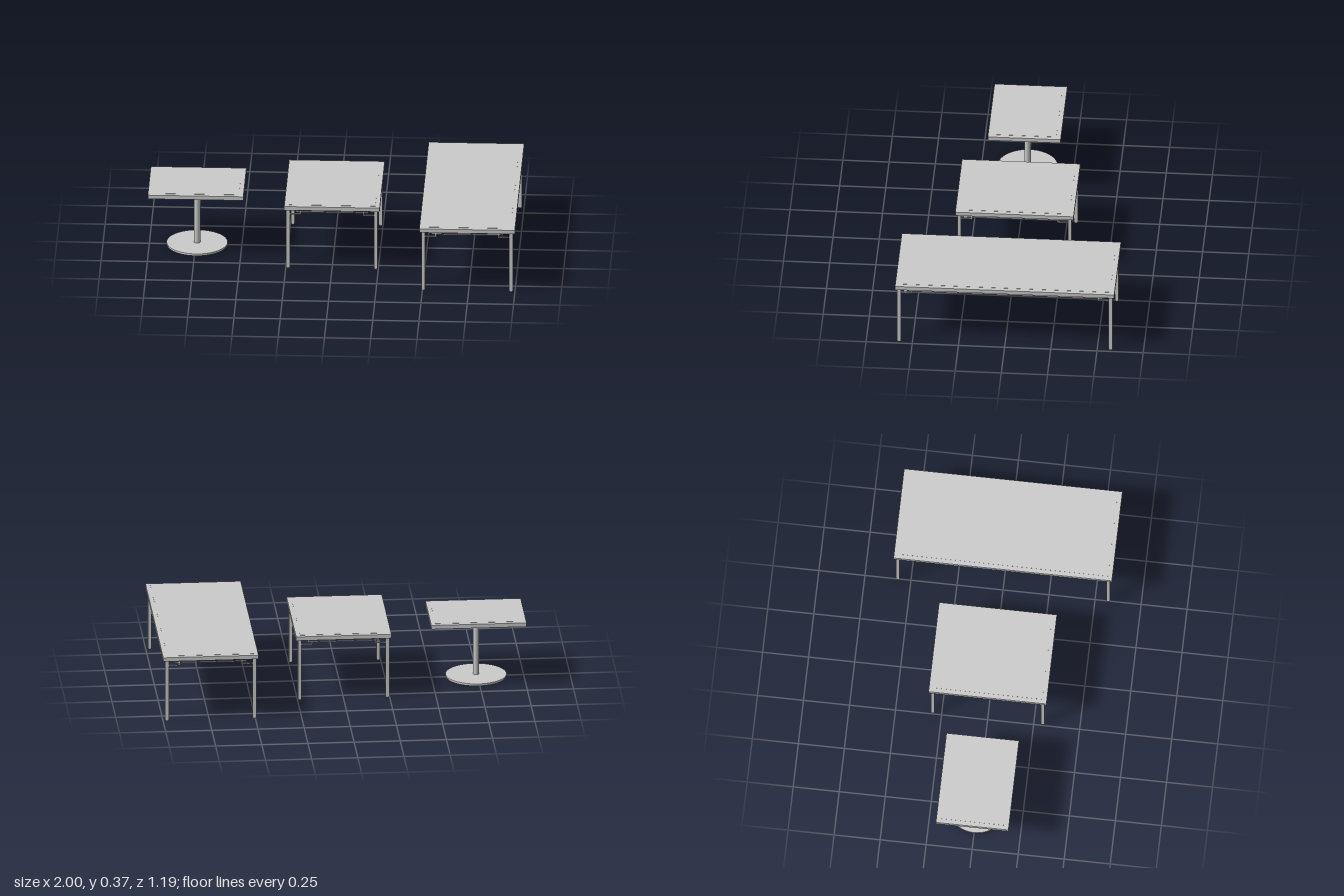
import * as THREE from 'three';

const grey = new THREE.MeshStandardMaterial({ color: 0xcccccc });
const UNDER = 0.345, TOP = 0.367, WIRE = 0.006, LEG = 0.02, INSET = 0.021;

function add(parent, name, geometry, x, y, z) {
  const mesh = new THREE.Mesh(geometry, grey);
  mesh.name = name;
  mesh.position.set(x, y, z);
  parent.add(mesh);
  return mesh;
}

// Box spanning two opposite corners
function span(parent, name, x0, x1, y0, y1, z0, z1) {
  return add(parent, name,
    new THREE.BoxGeometry(Math.abs(x1 - x0), Math.abs(y1 - y0), Math.abs(z1 - z0)),
    (x0 + x1) / 2, (y0 + y1) / 2, (z0 + z1) / 2);
}

// Table top: edged slab with a barely raised surface panel
function addTop(table, hx, hz) {
  const rim = 0.024;
  span(table, 'tableTop', -hx, hx, UNDER, TOP, -hz, hz);
  span(table, 'topPanel', -hx + rim, hx - rim, TOP - 0.002, TOP + 0.001, -hz + rim, hz - rim);
}

// Rails and corner brackets in a vertical plane along local x, offset in z
function addSide(table, name, halfLength, offset, turned) {
  const side = new THREE.Group();
  side.name = name;
  const w = WIRE / 2, railY = 0.33, bracketY = 0.316;
  const railEnd = halfLength - 0.046, bracketEnd = halfLength - 0.067;
  const bar = (part, x0, x1, y0, y1) => span(side, part, x0, x1, y0, y1, offset - w, offset + w);
  bar('rail', -railEnd, railEnd, railY - w, railY + w);
  for (const s of [-1, 1]) {
    bar('railEnd', s * railEnd - w, s * railEnd + w, railY - w, UNDER);
    bar('bracketArm', s * bracketEnd, s * halfLength, bracketY - w, bracketY + w);
    bar('bracketUpright', s * bracketEnd - w, s * bracketEnd + w, bracketY - w, UNDER);
  }
  if (turned) side.rotation.y = Math.PI / 2;
  table.add(side);
}

function fourLegTable(name, x, hx, hz) {
  const table = new THREE.Group();
  table.name = name;
  table.position.x = x;
  addTop(table, hx, hz);
  const lx = hx - INSET, lz = hz - INSET, h = LEG / 2;
  for (const sx of [-1, 1]) for (const sz of [-1, 1]) {
    span(table, 'leg', sx * lx - h, sx * lx + h, 0.006, UNDER, sz * lz - h, sz * lz + h);
    add(table, 'foot', new THREE.CylinderGeometry(0.0095, 0.008, 0.006, 16), sx * lx, 0.003, sz * lz);
  }
  for (const s of [-1, 1]) {
    addSide(table, 'endRails', lx, s * lz, false);
    addSide(table, 'sideRails', lz, s * lx, true);
  }
  return table;
}

function pedestalTable(name, x, hx, hz) {
  const table = new THREE.Group();
  table.name = name;
  table.position.x = x;
  addTop(table, hx, hz);
  add(table, 'column', new THREE.CylinderGeometry(0.0175, 0.0175, UNDER - 0.01, 32), 0, (UNDER + 0.01) / 2, 0);
  add(table, 'basePlate', new THREE.CylinderGeometry(0.165, 0.165, 0.009, 64), 0, 0.0085, 0);
  add(table, 'baseGlide', new THREE.CylinderGeometry(0.164, 0.162, 0.004, 64), 0, 0.002, 0);
  return table;
}

export function createModel() {
  const model = new THREE.Group();
  model.name = 'tableSet';
  model.add(
    pedestalTable('pedestalTable', -0.742, 0.258, 0.197),
    fourLegTable('mediumTable', 0, 0.258, 0.32),
    fourLegTable('longTable', 0.742, 0.258, 0.593),
  );
  return model;
}
